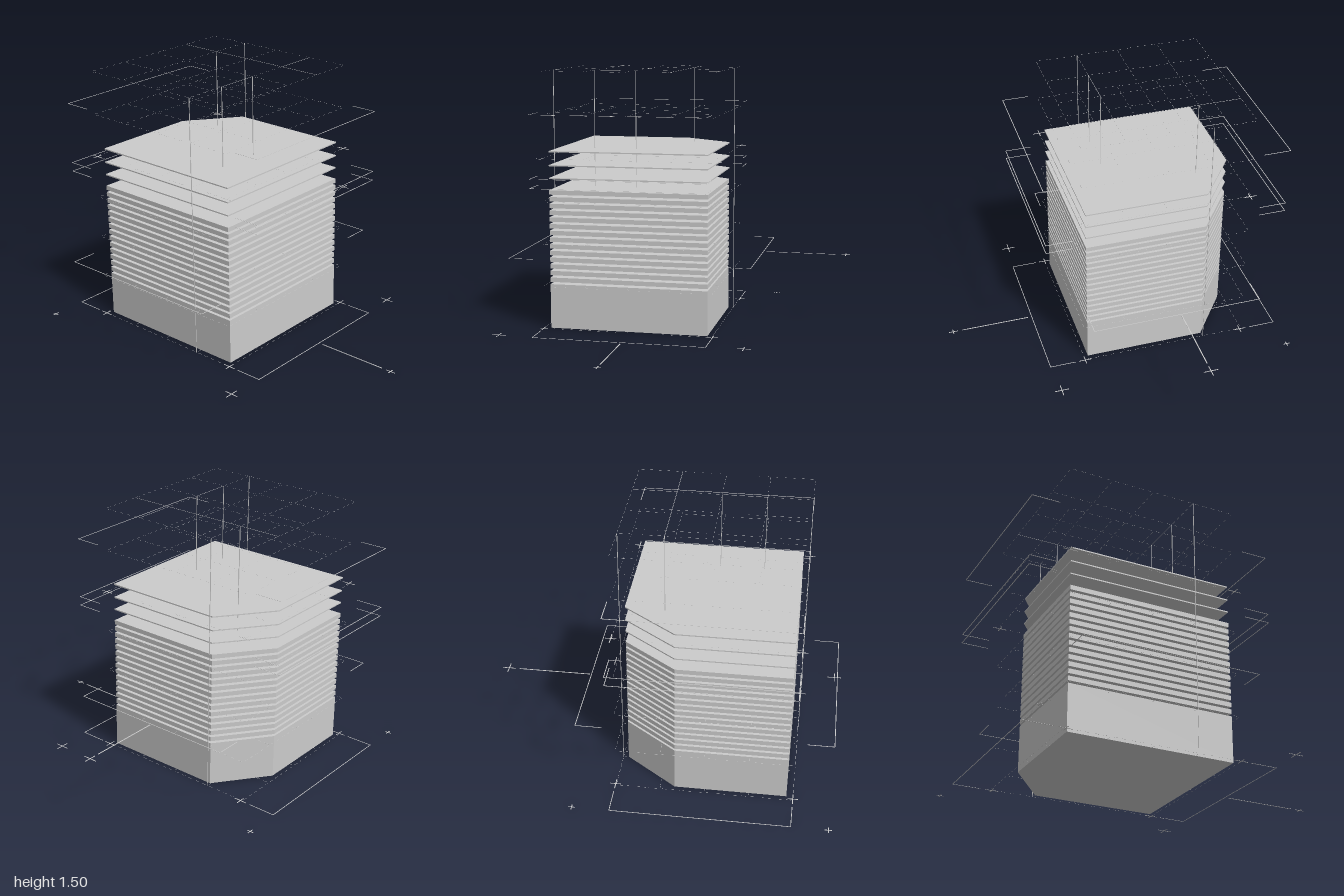
import * as THREE from 'three';
import { mergeGeometries } from 'three/addons/utils/BufferGeometryUtils.js';

export function createModel() {
  const model = new THREE.Group();
  const material = new THREE.MeshStandardMaterial({ color: 0xcccccc, flatShading: true });

  const add = (name, geometry) => {
    const mesh = new THREE.Mesh(geometry, material);
    mesh.name = name;
    model.add(mesh);
  };

  // Axis-aligned thin bar between two points
  const bar = (a, b, w = 0.004, h = 0.001) => {
    const size = a.map((v, i) => Math.abs(b[i] - v));
    const g = new THREE.BoxGeometry(Math.max(size[0], w), Math.max(size[1], h), Math.max(size[2], w));
    return g.translate(...a.map((v, i) => (v + b[i]) / 2));
  };

  // Square outline with one chamfered corner, extruded downward from its top
  const outline = new THREE.Shape([
    [-0.71, 0.08], [-0.485, -0.22], [0.235, -0.22], [0.235, 0.713], [-0.71, 0.713],
  ].map(([x, z]) => new THREE.Vector2(x, z)));
  const slab = (top, thickness) =>
    new THREE.ExtrudeGeometry(outline, { depth: thickness, bevelEnabled: false })
      .rotateX(Math.PI / 2).translate(0, top, 0);

  // Solid base, stacked floors and loose upper plates
  add('base', slab(0.262, 0.262));
  for (let i = 1; i <= 14; i++) add('floorSlab', slab(0.262 + 0.0396 * i, 0.026));
  for (const y of [0.888, 0.963, 1.044]) add('upperPlate', slab(y, 0.007));

  // Dashed lattice on every level of the surrounding volume
  const x0 = -0.74, z0 = -0.25, step = 0.25;
  const dashes = [];
  for (let level = 0; level <= 6; level++) {
    const y = Math.max(level * step, 0.001);
    for (let line = 0; line <= 4; line++) {
      for (let d = 0; d < 20; d++) {
        const s = d * 0.05 + 0.012, e = s + 0.026, o = line * step;
        dashes.push(bar([x0 + s, y, z0 + o], [x0 + e, y, z0 + o], 0.0015, 0.0005));
        dashes.push(bar([x0 + o, y, z0 + s], [x0 + o, y, z0 + e], 0.0015, 0.0005));
      }
    }
  }
  add('dashedLattice', mergeGeometries(dashes));

  // Thin upright guide lines
  for (const [x, z] of [[0.01, 0.75], [0.01, 0.5], [0.01, 0.25], [-0.49, 0], [-0.49, -0.25]])
    add('uprightLine', bar([x, 0, z], [x, 1.5, z], 0.003));

  // Solid lines along the lattice top
  add('topLine', bar([-0.74, 1.5, 0], [0.26, 1.5, 0], 0.002));
  for (const [a, b] of [[0.25, 0.5], [-0.25, 0]])
    add('topLine', bar([0.01, 1.5, a], [0.01, 1.5, b], 0.002));

  // U-shaped brackets on the left and right sides
  for (const y of [0.001, 0.857, 0.91, 1.27]) {
    for (const [x, end] of [[-0.955, -0.795], [0.475, 0.32]]) {
      add('sideBracket', mergeGeometries([
        bar([x, y, -0.255], [x, y, 0.75]),
        bar([x, y, -0.255], [end, y, -0.255]),
        bar([x, y, 0.75], [end, y, 0.75]),
      ]));
    }
  }

  // U-shaped brackets at the front and back
  for (const [z, end] of [[-0.47, -0.32], [0.957, 0.81]]) {
    add('endBracket', mergeGeometries([
      bar([-0.745, 0.41, z], [0.26, 0.41, z]),
      bar([-0.745, 0.41, z], [-0.745, 0.41, end]),
      bar([0.26, 0.41, z], [0.26, 0.41, end]),
    ]));
  }

  // Pointer lines running outward to the far markers
  add('backPointer', bar([-0.26, 0.41, -0.9], [-0.26, 0.41, -0.48], 0.006));
  add('sidePointer', bar([0.5, 0.001, 0.225], [0.915, 0.001, 0.225], 0.006));

  // Flat cross markers: x, y, z, half width, half depth
  const cross = (x, y, z, rx = 0.03, rz = 0.035) => add('crossMarker', mergeGeometries([
    bar([x - rx, y, z], [x + rx, y, z], 0.005),
    bar([x, y, z - rz], [x, y, z + rz], 0.005),
  ]));
  cross(-0.26, 0.41, -0.962, 0.042, 0.038);
  cross(0.972, 0.001, 0.225, 0.028, 0.02);
  for (const z of [-0.465, 0.955]) {
    cross(-0.955, 0.001, z, 0.02, 0.02);
    cross(0.46, 0.001, z, 0.042, 0.042);
  }
  for (const y of [0.001, 1])
    for (const x of [-0.73, 0.26])
      for (const z of [-0.255, 0.75]) cross(x, y, z, 0.04, 0.03);

  return model;
}
